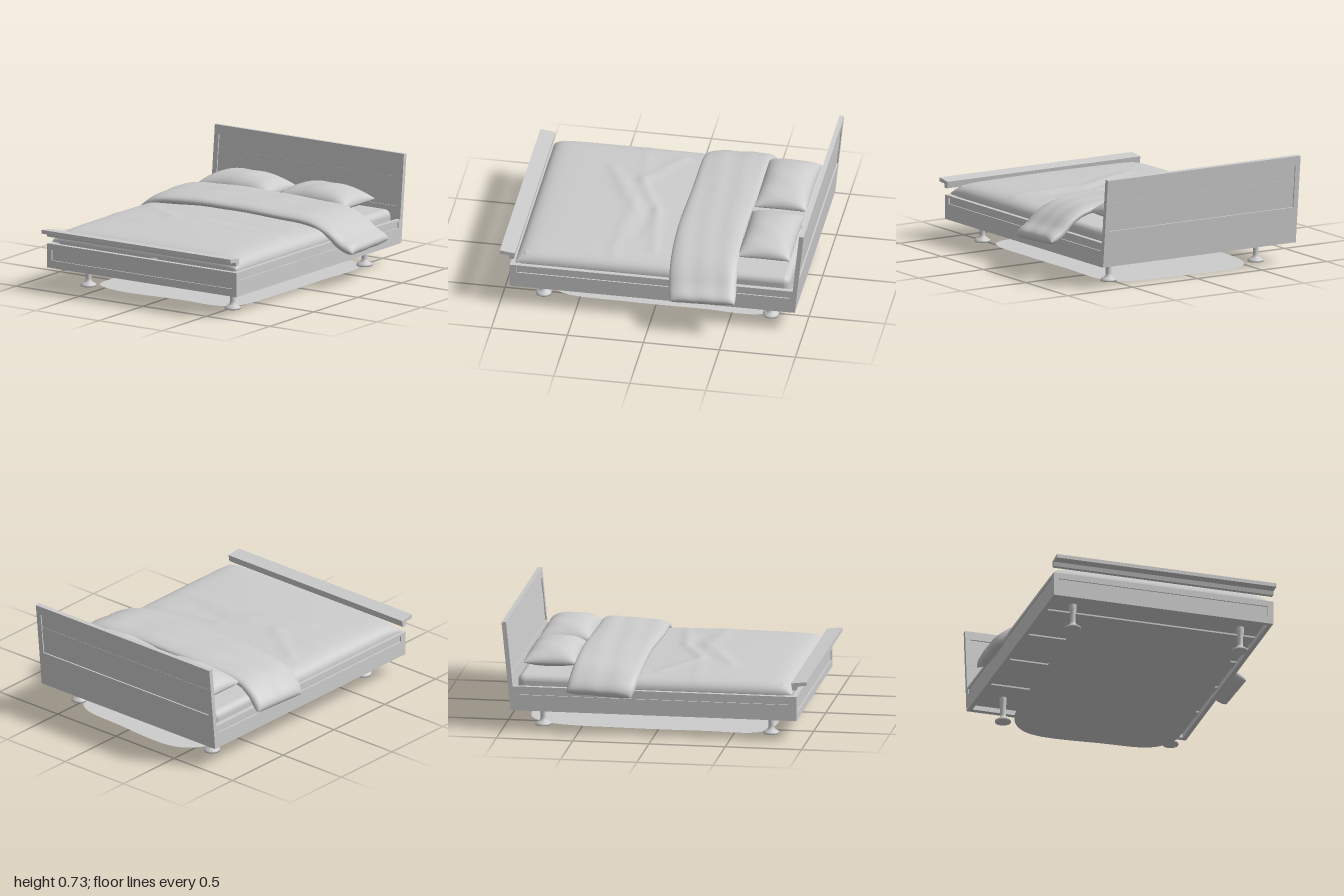
import * as THREE from 'three';
import { mergeVertices } from 'three/addons/utils/BufferGeometryUtils.js';
import { RoundedBoxGeometry } from 'three/addons/geometries/RoundedBoxGeometry.js';

const paleGrey = new THREE.MeshStandardMaterial({ color: 0xcccccc, side: THREE.DoubleSide });
paleGrey.name = 'paleGrey';

const X0 = -0.8, X1 = 0.69, CX = (X0 + X1) / 2, W = X1 - X0;

function add(parent, name, geometry, x = 0, y = 0, z = 0) {
  const mesh = new THREE.Mesh(geometry, paleGrey);
  mesh.name = name;
  mesh.position.set(x, y, z);
  parent.add(mesh);
  return mesh;
}

function rect(path, x0, y0, x1, y1) {
  path.moveTo(x0, y0);
  path.lineTo(x1, y0);
  path.lineTo(x1, y1);
  path.lineTo(x0, y1);
  path.closePath();
  return path;
}

// Board with a border and a recessed panel; x centred, y from 0, z centred
function panelledBoard(name, w, h, t, [side, bottom, top], planks = 1) {
  const group = new THREE.Group();
  group.name = name;
  const x = w / 2 - side;
  const shape = rect(new THREE.Shape(), -w / 2, 0, w / 2, h);
  shape.holes.push(rect(new THREE.Path(), -x, bottom, x, h - top));
  const border = new THREE.ExtrudeGeometry(shape, { depth: t, bevelEnabled: false });
  add(group, 'border', border.translate(0, 0, -t / 2));
  const ph = (h - top - bottom) / planks;
  for (let i = 0; i < planks; i++) {
    const thick = t * (0.4 + 0.1 * (i % 2));
    add(group, 'recessedPanel', new THREE.BoxGeometry(2 * x, ph, thick), 0, bottom + ph * (i + 0.5), 0);
  }
  return group;
}

// Closed soft form: fn(s, t, side) places a point, s and t in -1..1, side +1 top / -1 bottom
function softForm(nx, nz, fn) {
  let g = new THREE.BoxGeometry(2, 2, 2, nx, 1, nz);
  const p = g.attributes.position;
  for (let i = 0; i < p.count; i++) {
    const s = Math.sin(p.getX(i) * Math.PI / 2), t = Math.sin(p.getZ(i) * Math.PI / 2);
    p.setXYZ(i, ...fn(s, t, Math.sign(p.getY(i))));
  }
  g.deleteAttribute('normal');
  g.deleteAttribute('uv');
  g = mergeVertices(g, 1e-5);
  g.computeVertexNormals();
  return g;
}

const round = (v, n) => Math.sqrt(Math.max(0, 1 - Math.abs(v) ** n));

// Creases on the duvet: x0, z0, x1, z1, height
const creases = [
  [-0.62, 0.02, -0.3, 0.23, 0.008], [-0.3, 0.24, 0.05, 0.08, 0.009], [0.05, 0.08, 0.5, 0.02, 0.007],
  [-0.75, 0.27, -0.3, 0.23, 0.004], [-0.1, 0.24, 0.58, 0.28, 0.006], [-0.42, 0.45, -0.05, 0.3, 0.008],
  [-0.3, 0.36, 0.1, 0.2, 0.006], [0.0, 0.12, 0.35, 0.16, -0.006],
];
function creaseHeight(x, z) {
  let h = 0;
  for (const [x0, z0, x1, z1, a] of creases) {
    const dx = x1 - x0, dz = z1 - z0;
    const k = THREE.MathUtils.clamp(((x - x0) * dx + (z - z0) * dz) / (dx * dx + dz * dz), 0, 1);
    const d = Math.hypot(x - x0 - k * dx, z - z0 - k * dz);
    h += a * Math.exp(-((d / 0.03) ** 2));
  }
  return h;
}

function duvet() {
  return softForm(60, 60, (s, t, side) => {
    const x = -0.0585 + 0.7265 * s, z = 0.35 + 0.552 * t;
    if (side < 0) return [x, 0.308, z];
    const edge = round(s, 14) * (t > 0 ? round(t, 11) : 1);
    const swell = 0.08 + 0.013 * (1 - s * s) + 0.008 * Math.sin(z * 5) * (1 - s ** 4);
    return [x, 0.31 + (swell + creaseHeight(x, z)) * edge, z];
  });
}

// Folded cover draped across the bed, hanging over both sides
function foldedCover() {
  const path = new THREE.CatmullRomCurve3([
    [-0.845, 0.272], [-0.78, 0.34], [-0.67, 0.405], [-0.4, 0.435], [-0.05, 0.442],
    [0.3, 0.435], [0.55, 0.415], [0.67, 0.365], [0.76, 0.295], [0.85, 0.25],
  ].map(([x, y]) => new THREE.Vector3(x, y, 0)));
  return softForm(64, 24, (s, t, side) => {
    const u = (s + 1) / 2, p = path.getPoint(u), d = path.getTangent(u);
    const thick = (0.031 + 0.017 * s * s) * round(t, 6) * round(s, 14);
    const ripple = 0.004 * Math.sin(9 * p.x + 5 * t) * Math.cos(4 * t - 6 * p.x) * round(t, 4);
    const off = side * thick + ripple;
    const halfDepth = 0.222 * (1 - 0.05 * s ** 12);
    const z = -0.318 - 0.04 * s * s + halfDepth * t + 0.005 * Math.sin(7 * p.x);
    return [p.x - d.y * off, p.y + d.x * off - 0.01 * t, z];
  });
}

function pillow(hw) {
  return softForm(28, 24, (s, t, side) => {
    const fill = Math.pow(round(s, 2.3) * round(t, 2.4), 0.95);
    const crinkle = 0.003 * Math.sin(8 * s + 3 * t) * fill;
    return [
      hw * s * (1 - 0.04 * (1 - t * t)),
      (side > 0 ? 0.1 : -0.05) * fill + crinkle,
      0.173 * t * (1 - 0.03 * (1 - s * s)),
    ];
  });
}

export function createModel() {
  const bed = new THREE.Group();
  bed.name = 'bed';

  // Frame: front board and two side boards
  const front = panelledBoard('frontBoard', W, 0.16, 0.03, [0.035, 0.05, 0.04]);
  front.position.set(CX, 0.14, 0.92);
  bed.add(front);
  for (const [name, x] of [['leftSideBoard', X1 - 0.0151], ['rightSideBoard', X0 + 0.0151]]) {
    const board = panelledBoard(name, 1.83, 0.16, 0.03, [0.015, 0.105, 0.015]);
    board.rotation.y = Math.PI / 2;
    board.position.set(x, 0.14, -0.01);
    bed.add(board);
  }

  // Leaning headboard
  const head = panelledBoard('headboard', W, 0.586, 0.03, [0.035, 0.24, 0.06], 3);
  head.rotation.x = -0.1;
  head.position.set(CX, 0.142, -0.925);
  bed.add(head);

  // Foot rail above the front board
  const railShape = new THREE.Shape([
    [1, 0.402], [1, 0.377], [0.942, 0.372], [0.935, 0.345], [0.908, 0.345], [0.9, 0.39],
  ].map(([z, y]) => new THREE.Vector2(z, y)));
  const rail = new THREE.ExtrudeGeometry(railShape, { depth: W, bevelEnabled: false });
  add(bed, 'footRail', rail.rotateY(-Math.PI / 2), X1);

  // Base board and cross slats
  add(bed, 'baseBoard', new THREE.BoxGeometry(W - 0.06, 0.015, 1.83), CX, 0.185, -0.01);
  for (let i = 0; i < 4; i++) {
    add(bed, 'slat', new THREE.BoxGeometry(W - 0.06, 0.012, 0.08), CX, 0.173, -0.6 + i * 0.4);
  }

  // Legs with flared feet
  const legProfile = [
    [0, 0.006], [0.052, 0.006], [0.052, 0.018], [0.036, 0.028], [0.022, 0.038],
    [0.018, 0.055], [0.018, 0.12], [0.024, 0.14], [0.024, 0.18],
  ].map(([r, y]) => new THREE.Vector2(r, y));
  for (const x of [-0.61, 0.527]) {
    for (const z of [-0.755, 0.74]) add(bed, 'leg', new THREE.LatheGeometry(legProfile, 20), x, 0, z);
  }

  // Two mattresses side by side
  for (const [x0, x1] of [[-0.768, -0.004], [0.004, 0.652]]) {
    const g = new RoundedBoxGeometry(x1 - x0, 0.165, 1.775, 5, 0.045);
    add(bed, 'mattress', g, (x0 + x1) / 2, 0.288, -0.0125);
  }

  // Bedding
  add(bed, 'duvet', duvet());
  add(bed, 'foldedCover', foldedCover());
  add(bed, 'rightPillow', pillow(0.285), -0.37, 0.425, -0.705);
  add(bed, 'leftPillow', pillow(0.275), 0.25, 0.425, -0.705);

  // Flat rug with a soft irregular outline
  const outline = new THREE.CatmullRomCurve3([
    [0.5, 0.62], [0.53, 0.2], [0.53, -0.3], [0.53, -0.68], [0.42, -0.82], [0.1, -0.86], [-0.4, -0.86],
    [-0.55, -0.7], [-0.6, -0.2], [-0.6, 0.3], [-0.59, 0.64], [-0.4, 0.73], [0.1, 0.71], [0.4, 0.71],
  ].map(([x, z]) => new THREE.Vector3(x, -z, 0)), true);
  const rug = new THREE.ShapeGeometry(new THREE.Shape(outline.getPoints(80).slice(0, -1)));
  add(bed, 'rug', rug.rotateX(-Math.PI / 2), 0, 0.001, 0);

  return bed;
}
